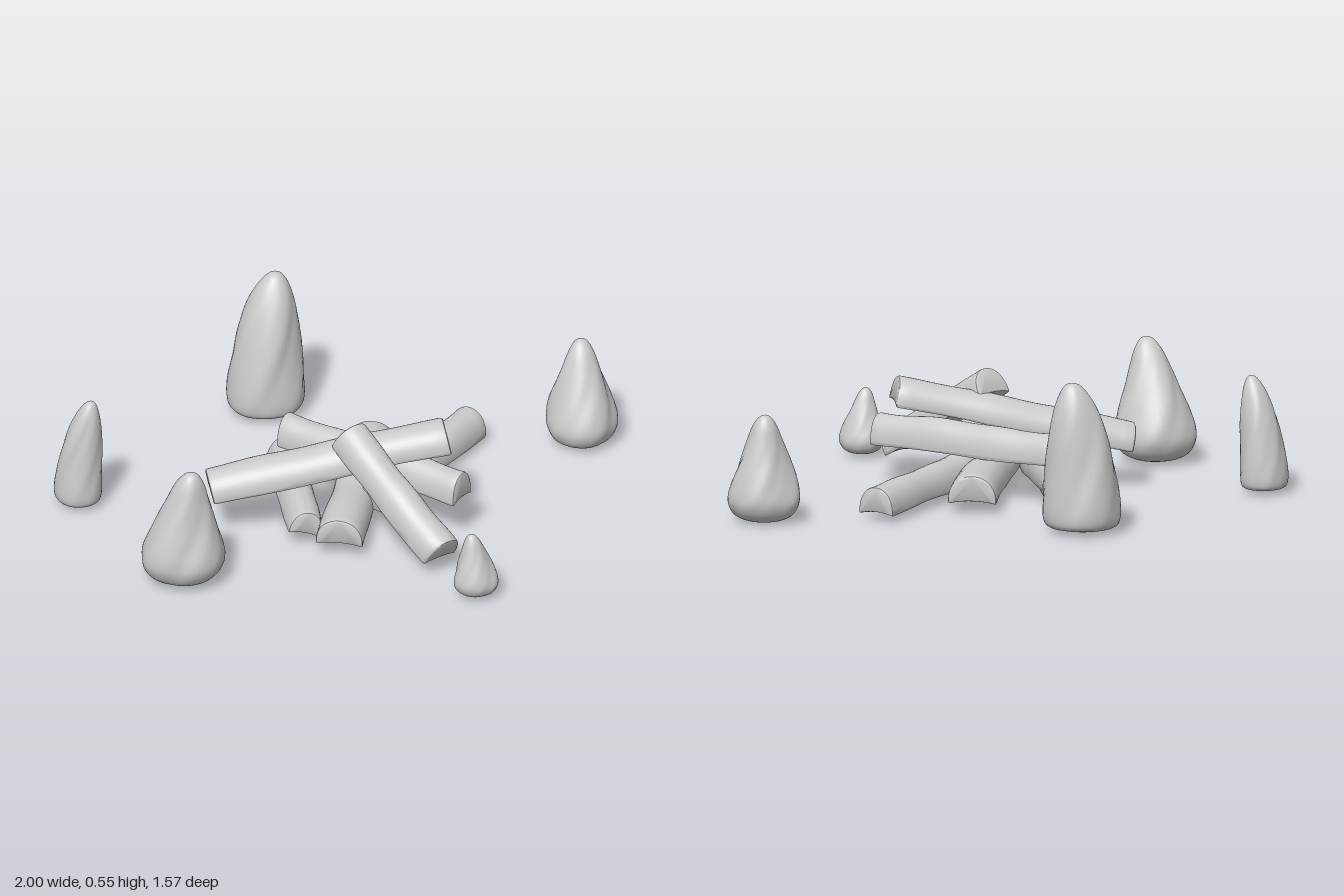
import * as THREE from 'three';
import { mergeVertices, toCreasedNormals } from 'three/addons/utils/BufferGeometryUtils.js';

const material = new THREE.MeshStandardMaterial({ color: 0xcccccc });

// Moves every vertex by a rule, then welds the surface
function reshape(geometry, rule) {
  const pos = geometry.attributes.position;
  const v = new THREE.Vector3();
  for (let i = 0; i < pos.count; i++) {
    v.fromBufferAttribute(pos, i);
    rule(v);
    pos.setXYZ(i, v.x, v.y, v.z);
  }
  geometry.deleteAttribute('uv');
  geometry.deleteAttribute('normal');
  return mergeVertices(geometry, 1e-4);
}

// Stone outlines as [radius, height] fractions, from base to tip
const CONE = [[0, 0], [0.45, 0.01], [0.8, 0.06], [0.97, 0.15], [0.99, 0.25], [0.87, 0.4], [0.68, 0.58], [0.5, 0.75], [0.34, 0.89], [0.17, 0.975], [0, 1]];
const BLUNT = [[0, 0], [0.6, 0], [0.9, 0.02], [1, 0.08], [0.99, 0.2], [0.9, 0.4], [0.78, 0.6], [0.62, 0.77], [0.42, 0.9], [0.2, 0.98], [0, 1]];

// Tapered upright stone: a lathe leaned towards its tip and lightly chiselled
function makeStone({ profile, x, z, rx, rz, y0, y1, tipX, tipZ, seed }) {
  const curve = new THREE.SplineCurve(profile.map(([r, h]) => new THREE.Vector2(r, h)));
  const points = curve.getPoints(44).map((p) => new THREE.Vector2(Math.max(p.x, 0), p.y));
  points[0].x = 0;
  points[points.length - 1].x = 0;
  const geometry = reshape(new THREE.LatheGeometry(points, 48), (v) => {
    const a = Math.atan2(v.z, v.x);
    const h = v.y;
    const fade = Math.sin(Math.PI * Math.min(1, h * 0.9 + 0.08));
    const dent = 1 + fade * (0.035 * Math.sin(3 * a + seed + 4 * h)
      + 0.03 * Math.sin(5 * a - 2 * seed + 7 * h)
      + 0.014 * Math.sin(9 * a + 17 * h + seed));
    const lean = h * h;
    v.set(v.x * rx * dent + tipX * lean, y0 + h * (y1 - y0), v.z * rz * dent + tipZ * lean);
  });
  geometry.computeVertexNormals();
  const mesh = new THREE.Mesh(geometry, material);
  mesh.position.set(x, 0, z);
  mesh.name = 'stone';
  return mesh;
}

// Split log: half-round section with a slightly hollow split face along from -> to
function makeLog({ from, to, width, height, roll = 0, seed }) {
  const a = new THREE.Vector3(...from);
  const b = new THREE.Vector3(...to);
  const length = a.distanceTo(b);
  const w = width / 2;
  const bevel = 0.01;
  const section = new THREE.Shape();
  section.moveTo(-w * 0.94, 0);
  section.quadraticCurveTo(0, height * 0.18, w * 0.94, 0);
  section.quadraticCurveTo(w, 0, w, height * 0.12);
  section.bezierCurveTo(w, height * 0.65, w * 0.6, height, 0, height);
  section.bezierCurveTo(-w * 0.6, height, -w, height * 0.65, -w, height * 0.12);
  section.quadraticCurveTo(-w, 0, -w * 0.94, 0);
  const extruded = new THREE.ExtrudeGeometry(section, {
    depth: length - 2 * bevel, steps: 24, curveSegments: 10,
    bevelEnabled: true, bevelSize: bevel * 0.7, bevelThickness: bevel, bevelOffset: -bevel * 0.7, bevelSegments: 2,
  });
  const geometry = reshape(extruded, (v) => {
    const t = (v.z + bevel) / length;
    const swell = 1 + 0.03 * Math.sin(7 * t + seed) + 0.02 * Math.sin(17 * t + 2 * seed);
    v.z += bevel - length / 2 + 0.08 * v.x * Math.sin(seed);
    v.x = v.x * swell + 0.004 * Math.sin(5 * t + seed);
    v.y = v.y * swell + 0.003 * Math.sin(9 * t - seed);
  });
  const mesh = new THREE.Mesh(toCreasedNormals(geometry, 0.7), material);

  // Length along the log, rounded back facing up
  const along = b.clone().sub(a).normalize();
  const side = new THREE.Vector3(0, 1, 0).cross(along).normalize();
  const up = along.clone().cross(side);
  mesh.quaternion.setFromRotationMatrix(new THREE.Matrix4().makeBasis(side, up, along));
  mesh.rotateZ(roll);
  mesh.position.copy(a).lerp(b, 0.5);
  mesh.name = 'splitLog';
  return mesh;
}

export function createModel() {
  const model = new THREE.Group();
  model.name = 'campfire';

  // Ring of standing stones
  const stones = new THREE.Group();
  stones.name = 'stoneRing';
  [
    { profile: BLUNT, x: -0.285, z: -0.65, rx: 0.14, rz: 0.135, y0: 0.02, y1: 0.555, tipX: 0.035, tipZ: -0.025, seed: 1.2 },
    { profile: CONE, x: 0.865, z: -0.49, rx: 0.13, rz: 0.132, y0: 0.005, y1: 0.4, tipX: -0.005, tipZ: -0.035, seed: 2.7 },
    { profile: BLUNT, x: -0.912, z: 0.09, rx: 0.086, rz: 0.09, y0: 0.02, y1: 0.43, tipX: 0.045, tipZ: 0.02, seed: 4.1 },
    { profile: CONE, x: -0.505, z: 0.64, rx: 0.15, rz: 0.142, y0: 0.01, y1: 0.457, tipX: 0.035, tipZ: 0.035, seed: 5.6 },
    { profile: CONE, x: 0.555, z: 0.7, rx: 0.08, rz: 0.077, y0: 0.015, y1: 0.255, tipX: -0.015, tipZ: 0.005, seed: 0.4 },
  ].forEach((s) => stones.add(makeStone(s)));

  // Heap of split logs, lowest first
  const logs = new THREE.Group();
  logs.name = 'logPile';
  [
    { from: [0.12, 0.04, -0.34], to: [0.05, 0.045, 0.44], width: 0.17, height: 0.1, seed: 0.5 },
    { from: [0.46, 0.03, -0.49], to: [0.15, 0.04, 0.17], width: 0.14, height: 0.1, seed: 1.9 },
    { from: [-0.195, 0.05, -0.2], to: [-0.085, 0.05, 0.37], width: 0.125, height: 0.095, roll: -0.25, seed: 3.1 },
    { from: [-0.18, 0.15, -0.16], to: [0.48, 0.15, 0.25], width: 0.13, height: 0.11, seed: 4.4 },
    { from: [-0.425, 0.13, 0.235], to: [0.425, 0.315, 0.137], width: 0.172, height: 0.1, seed: 5.2 },
    { from: [0.055, 0.34, 0.185], to: [0.41, 0.05, 0.525], width: 0.145, height: 0.105, seed: 2.3 },
  ].forEach((l) => logs.add(makeLog(l)));

  model.add(stones, logs);
  return model;
}
